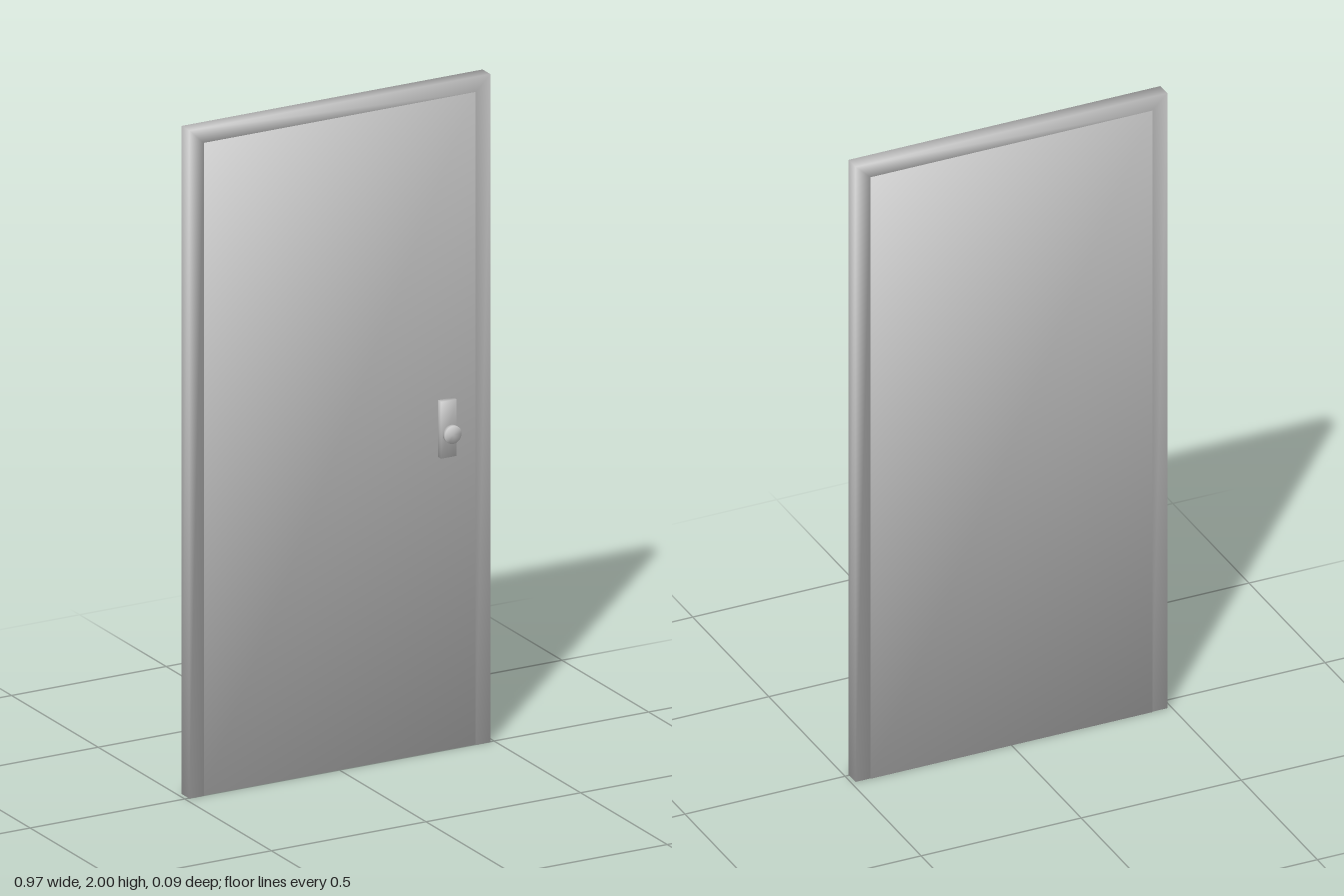
import * as THREE from 'three';
import { mergeVertices } from 'three/addons/utils/BufferGeometryUtils.js';

const material = new THREE.MeshStandardMaterial({ color: 0xcccccc });

// Weld corners and average the face normals by corner angle, for soft shading over every edge
function soften(geometry) {
  geometry.deleteAttribute('normal');
  geometry.deleteAttribute('uv');
  const welded = mergeVertices(geometry, 1e-4);
  const position = welded.attributes.position, index = welded.index;
  const normals = Array.from({ length: position.count }, () => new THREE.Vector3());
  for (let i = 0; i < index.count; i += 3) {
    const ids = [0, 1, 2].map((k) => index.getX(i + k));
    const [a, b, c] = ids.map((id) => new THREE.Vector3().fromBufferAttribute(position, id));
    const faceNormal = new THREE.Triangle(a, b, c).getNormal(new THREE.Vector3());
    [[a, b, c], [b, c, a], [c, a, b]].forEach(([p, q, r], k) => {
      const angle = q.clone().sub(p).angleTo(r.clone().sub(p));
      normals[ids[k]].addScaledVector(faceNormal, angle);
    });
  }
  const flat = normals.flatMap((n) => n.normalize().toArray());
  welded.setAttribute('normal', new THREE.Float32BufferAttribute(flat, 3));
  return welded;
}

function addPart(group, name, geometry, x = 0, y = 0, z = 0) {
  const mesh = new THREE.Mesh(soften(geometry), material);
  mesh.name = name;
  mesh.position.set(x, y, z);
  group.add(mesh);
}

// Rectangular section swept up one jamb, across the head and down the other, mitred at the corners
function frameGeometry(outer, inner, height, top, back, front) {
  const stations = [[-1, 0, 0], [-1, height, top], [1, height, top], [1, 0, 0]];
  const vertices = stations.flatMap(([side, yOuter, yInner]) => [
    side * outer, yOuter, front, side * inner, yInner, front,
    side * inner, yInner, back, side * outer, yOuter, back,
  ]);
  const faces = [];
  const quad = (a, b, c, d) => faces.push(a, b, c, a, c, d);
  for (let s = 0; s < 3; s++) {
    for (let k = 0; k < 4; k++) {
      const a = s * 4 + k, b = s * 4 + (k + 1) % 4;
      quad(a, b, b + 4, a + 4);
    }
  }
  quad(3, 2, 1, 0);
  quad(12, 13, 14, 15);
  const geometry = new THREE.BufferGeometry();
  geometry.setAttribute('position', new THREE.Float32BufferAttribute(vertices, 3));
  geometry.setIndex(faces);
  return geometry;
}

export function createModel() {
  const model = new THREE.Group();
  model.name = 'door';

  const halfWidth = 0.487, height = 2, inner = 0.44, top = 1.955;
  addPart(model, 'frame', frameGeometry(halfWidth, inner, height, top, -0.042, 0.003));

  // Door leaf: set back slightly at the front, just proud at the back
  addPart(model, 'doorLeaf', new THREE.BoxGeometry(inner * 2, top, 0.044), 0, top / 2, -0.022);

  // Handle: back plate, neck and round knob
  const handle = new THREE.Group();
  handle.name = 'handle';
  handle.position.set(0.344, 0.957, 0);
  model.add(handle);

  const disc = (radius, depth) => new THREE.CylinderGeometry(radius, radius, depth, 32).rotateX(Math.PI / 2);
  addPart(handle, 'backPlate', new THREE.BoxGeometry(0.05, 0.17, 0.018), 0, 0.01, 0.009);
  addPart(handle, 'neck', disc(0.009, 0.016), 0, 0, 0.025);
  addPart(handle, 'knob', disc(0.027, 0.012), 0, 0, 0.0375);

  return model;
}
